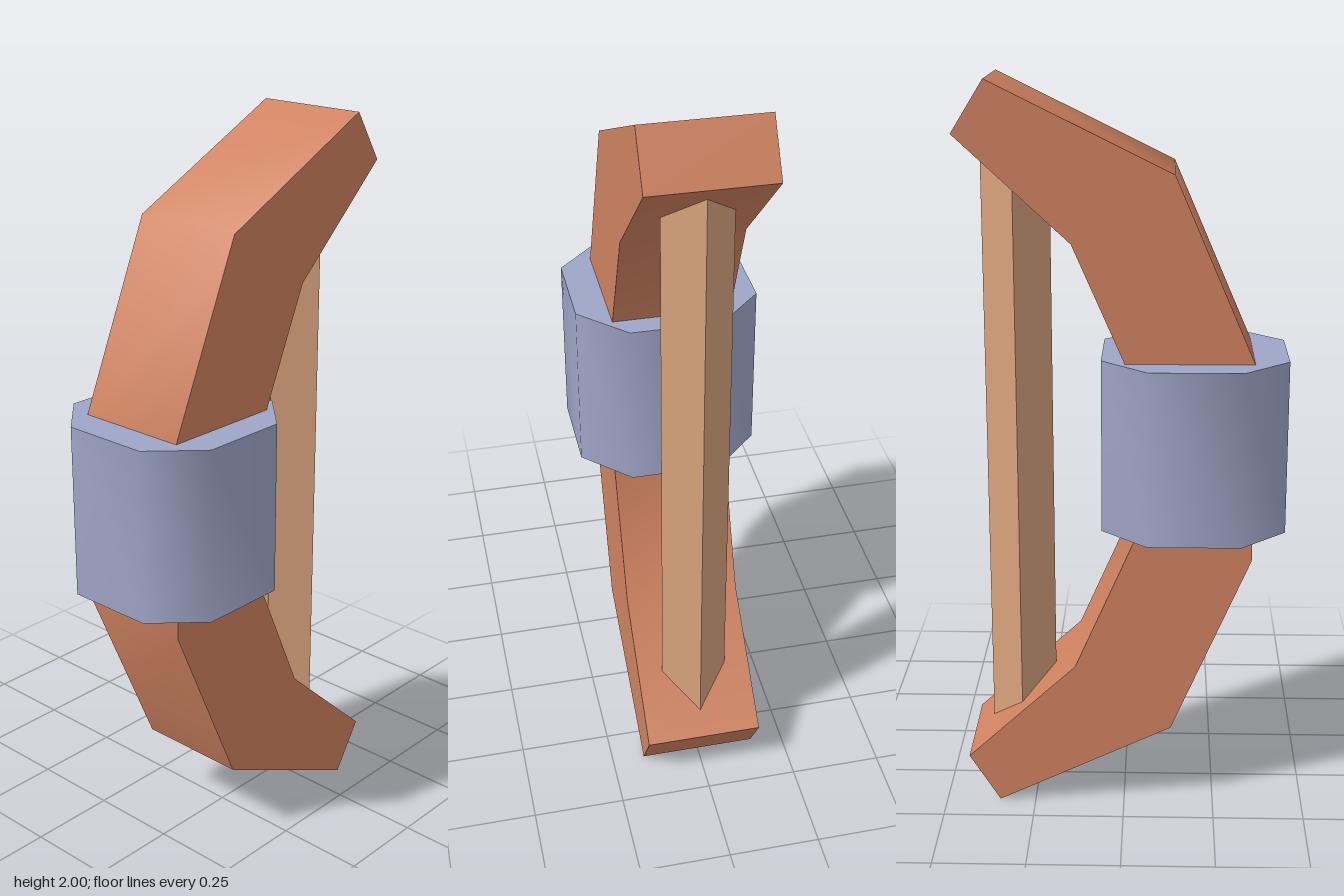
import * as THREE from 'three';
import { toCreasedNormals } from 'three/addons/utils/BufferGeometryUtils.js';

const deg = Math.PI / 180;

// Centred prism of a closed outline, with bends below the crease angle smoothed
function prism(points, depth, crease) {
  const shape = new THREE.Shape(points.map(([x, y]) => new THREE.Vector2(x, y)));
  const geometry = new THREE.ExtrudeGeometry(shape, { depth, bevelEnabled: false });
  geometry.translate(0, 0, -depth / 2);
  return toCreasedNormals(geometry, crease * deg);
}

export function createModel() {
  const model = new THREE.Group();
  model.name = 'bow';

  const material = (name, color) => {
    const m = new THREE.MeshStandardMaterial({ color });
    m.name = name;
    return m;
  };
  const wood = material('limb wood', 0xcf8260);
  const wrap = material('grip wrap', 0x9ea5c6);
  const cord = material('string cord', 0xd8a27c);

  const add = (name, geometry, mat) => {
    const mesh = new THREE.Mesh(geometry, mat);
    mesh.name = name;
    model.add(mesh);
    return mesh;
  };

  // Limbs: one bent profile in (z, y), extruded across x
  const profile = [
    [-0.35, 2], [-0.435, 1.865], [-0.135, 1.588], [0.035, 1.2],
    [0.035, 0.8], [-0.135, 0.412], [-0.435, 0.135], [-0.35, 0],
    [0.13, 0.23], [0.345, 0.73], [0.345, 1.27], [0.13, 1.765],
  ];
  const limbs = prism(profile, 0.32, 40.75); // only the lower outer bend stays sharp
  limbs.rotateY(-Math.PI / 2);
  add('limbs', limbs, wood);

  // Grip: chamfered square sleeve, smooth around its sides
  const a = 0.248, b = 0.124;
  const octagon = [[a, -b], [a, b], [b, a], [-b, a], [-a, b], [-a, -b], [-b, -a], [b, -a]];
  const grip = prism(octagon, 0.475, 50);
  grip.rotateX(-Math.PI / 2);
  add('grip', grip, wrap).position.set(0, 1.037, 0.187);

  // String: diamond-section bar whose ends sink into the limb tips
  const r = 0.091;
  const string = prism([[r, 0], [0, r], [-r, 0], [0, -r]], 1.68, 20);
  string.rotateX(-Math.PI / 2);
  add('string', string, cord).position.set(0, 1, -0.289);

  return model;
}
